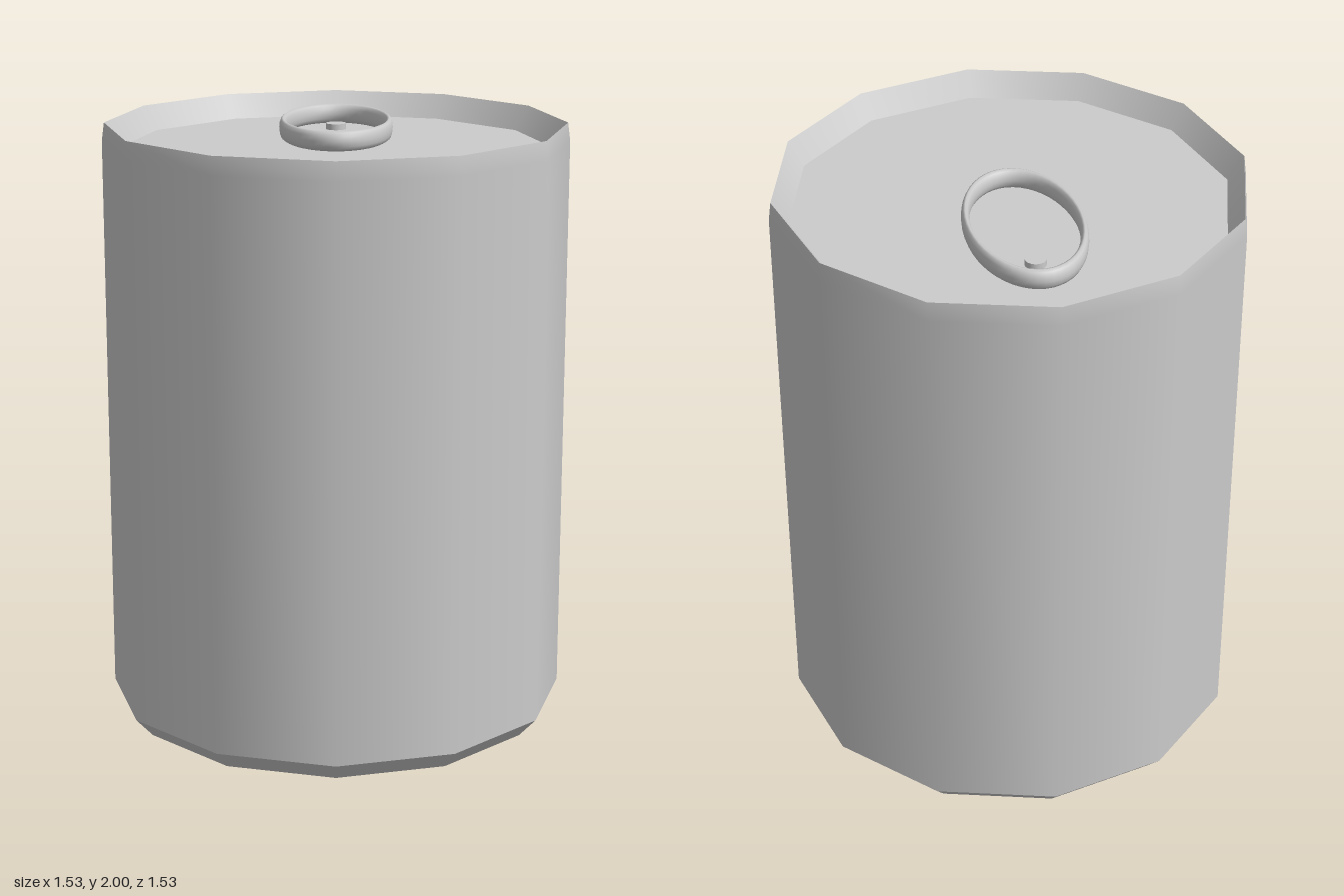
import * as THREE from 'three';

export function createModel() {
  const model = new THREE.Group();
  const material = new THREE.MeshStandardMaterial({ color: 0xcccccc });
  const sides = 12;
  const lidY = 1.92;

  function add(name, geometry, x = 0, y = 0, z = 0) {
    const mesh = new THREE.Mesh(geometry, material);
    mesh.name = name;
    mesh.position.set(x, y, z);
    model.add(mesh);
    return mesh;
  }

  // Can shell: separate lathed bands keep the edges between them sharp
  const bands = {
    base: [[0, 0], [0.705, 0]],
    bottomBevel: [[0.705, 0], [0.765, 0.065]],
    body: [[0.765, 0.065], [0.765, 1.94], [0.757, 2]],
    innerRim: [[0.757, 2], [0.705, lidY]],
    lid: [[0.705, lidY], [0, lidY]],
  };
  for (const [name, profile] of Object.entries(bands)) {
    const points = profile.map(([r, y]) => new THREE.Vector2(r, y));
    add(name, new THREE.LatheGeometry(points, sides));
  }

  // Oval pull ring lying on the lid
  const ring = new THREE.TorusGeometry(0.307, 0.022, 12, 48);
  ring.rotateX(Math.PI / 2);
  ring.scale(0.578, 1.5, 1);
  add('pullRing', ring, 0, lidY + 0.033, -0.215);

  // Rivet inside the ring
  add('rivet', new THREE.CylinderGeometry(0.034, 0.034, 0.02, 32), 0, lidY + 0.01, -0.383);

  return model;
}
